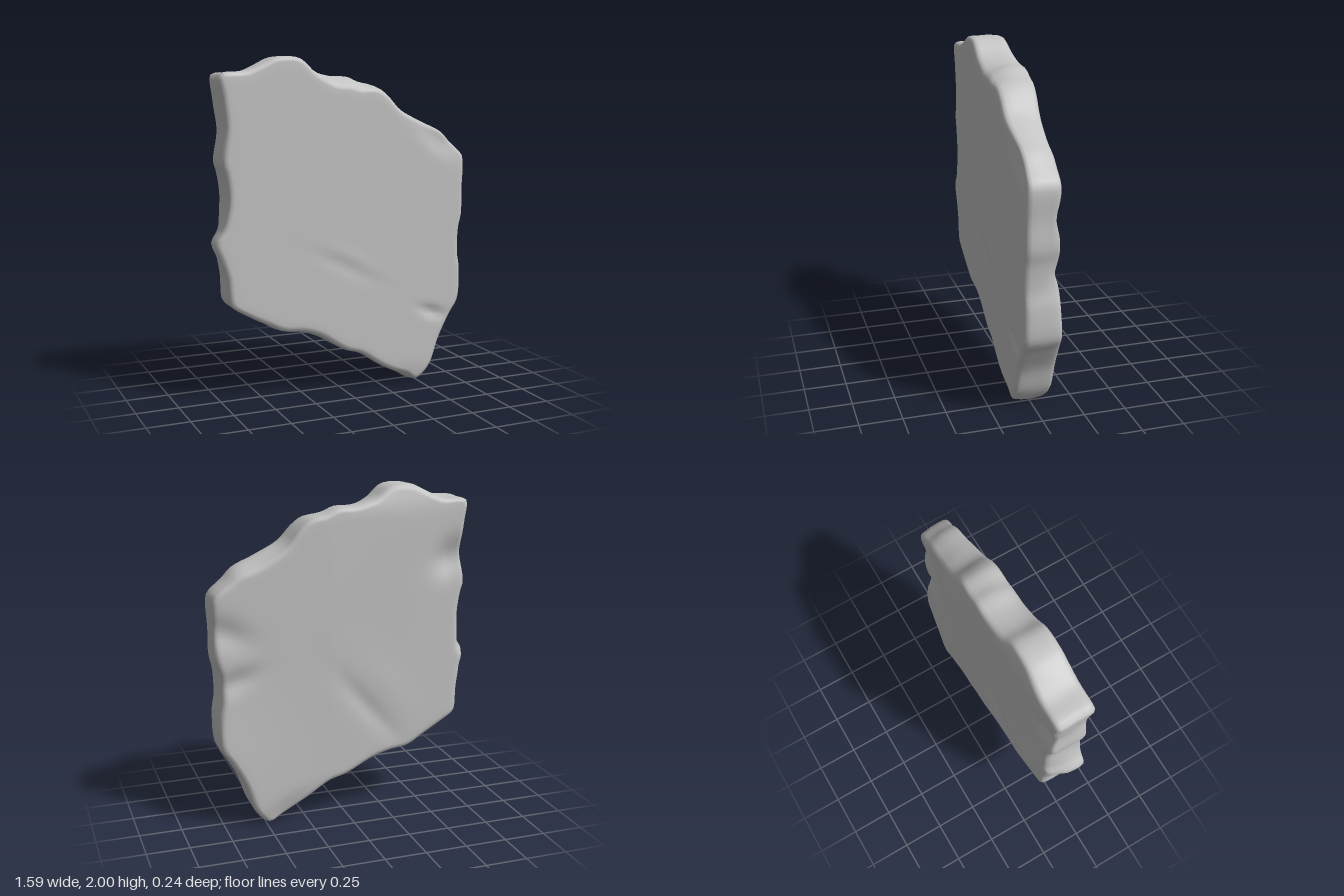
import * as THREE from 'three';
import { mergeVertices } from 'three/addons/utils/BufferGeometryUtils.js';

// Broken edge of the slab, clockwise from the upper left corner
const OUTLINE = [
  [-0.76, 1.9], [-0.72, 1.915], [-0.6, 1.92], [-0.5, 1.96], [-0.42, 1.995], [-0.28, 1.995], [-0.18, 1.93],
  [-0.05, 1.895], [0.05, 1.89], [0.12, 1.86], [0.22, 1.83], [0.28, 1.78], [0.36, 1.69], [0.5, 1.615],
  [0.64, 1.55], [0.7, 1.49], [0.785, 1.41], [0.795, 1.37], [0.79, 1.2], [0.79, 1.04], [0.77, 0.95],
  [0.765, 0.8], [0.78, 0.7], [0.77, 0.5], [0.72, 0.42], [0.64, 0.27], [0.58, 0.1], [0.52, 0.02],
  [0.48, 0], [0.4, 0.04], [0.24, 0.13], [0.1, 0.22], [0, 0.25], [-0.18, 0.34], [-0.28, 0.37],
  [-0.4, 0.39], [-0.5, 0.45], [-0.6, 0.51], [-0.7, 0.575], [-0.715, 0.6], [-0.73, 0.75], [-0.77, 0.87],
  [-0.795, 0.95], [-0.75, 1.03], [-0.72, 1.2], [-0.74, 1.35], [-0.755, 1.4], [-0.735, 1.6], [-0.75, 1.75],
];
const CENTRE = new THREE.Vector2(0.02, 1);

// Soft bump of height 1 around a point; rx, ry are its radii, turned by an angle
function bump(x, y, cx, cy, rx, ry, angle = 0) {
  const c = Math.cos(angle), s = Math.sin(angle), dx = x - cx, dy = y - cy;
  const u = (dx * c + dy * s) / rx, v = (dy * c - dx * s) / ry;
  return Math.exp(-u * u - v * v);
}

// Nearly flat front with a shallow crease and chipped corners
function frontZ(x, y) {
  return 0.118 + 0.002 * Math.sin(3 * x + 2 * y)
    + 0.004 * bump(x, y, 0.02, 0.82, 0.2, 0.035, -0.46)
    - 0.007 * bump(x, y, 0, 0.77, 0.2, 0.04, -0.46)
    - 0.02 * bump(x, y, 0.58, 0.44, 0.08, 0.03, -0.3)
    - 0.012 * bump(x, y, 0.45, 0.03, 0.12, 0.06)
    - 0.02 * bump(x, y, 0.62, 1.5, 0.16, 0.05, -0.6);
}

// Wavier back, thinner towards the left side, with a groove and flaked edges
function backZ(x, y) {
  return -0.117 + 0.045 * Math.max(0, x - 0.1) * THREE.MathUtils.smoothstep(y, 0.2, 1)
    + 0.004 * Math.sin(5 * x + 3 * y)
    + 0.012 * bump(x, y, -0.13, 0.68, 0.28, 0.06, 0.85)
    - 0.004 * bump(x, y, -0.26, 0.8, 0.3, 0.1, 0.85)
    + 0.045 * bump(x, y, -0.65, 1.56, 0.09, 0.1, 0.7)
    + 0.025 * bump(x, y, 0.74, 1.2, 0.16, 0.08, 0.4)
    + 0.025 * bump(x, y, 0.68, 0.9, 0.14, 0.06, -0.4)
    + 0.02 * bump(x, y, 0.4, 0.08, 0.2, 0.05, -0.5)
    + 0.025 * bump(x, y, -0.3, 1.98, 0.4, 0.08);
}

// Extra inset of the rim where pieces have broken off
const frontInset = (x, y) => 0.06 * bump(x, y, 0.02, 1.87, 0.2, 0.15)
  + 0.03 * bump(x, y, -0.25, 0.37, 0.35, 0.12) + 0.012 * bump(x, y, -0.75, 1.6, 0.1, 0.4)
  + 0.02 * bump(x, y, 0.42, 0.02, 0.12, 0.1);
const backInset = (x, y) => 0.01 + 0.045 * bump(x, y, -0.79, 0.95, 0.1, 0.15)
  + 0.03 * bump(x, y, 0.55, 1.6, 0.25, 0.12) + 0.015 * bump(x, y, 0.76, 0.85, 0.1, 0.2);

function slabGeometry() {
  const curve = new THREE.CatmullRomCurve3(
    OUTLINE.map(([x, y]) => new THREE.Vector3(x, y, 0)), true, 'centripetal');
  const n = OUTLINE.length * 4;
  const edge = curve.getSpacedPoints(n).slice(0, n);
  // Inward direction at each edge point, smoothed over its neighbours
  const inward = edge.map((_, i) => {
    const a = edge[(i + n - 5) % n], b = edge[(i + 5) % n];
    return new THREE.Vector2(b.y - a.y, a.x - b.x).normalize();
  });
  const positions = [], index = [];

  // One loop: inset from the edge, depth from face (0) to mid-thickness (1), scale t, side +1 or -1
  function addRing(inset, depth, t, side) {
    const faceZ = side > 0 ? frontZ : backZ, chip = side > 0 ? frontInset : backInset;
    edge.forEach((p, i) => {
      // Uneven hollows across the broken side
      const hollow = 0.012 * depth * (1 + Math.sin(9 * p.x + 11 * p.y + side * (1 - depth) * 2)) / 2;
      const d = inset + hollow + chip(p.x, p.y) * (1 - depth);
      const x = THREE.MathUtils.lerp(CENTRE.x, p.x + inward[i].x * d, t);
      const y = THREE.MathUtils.lerp(CENTRE.y, p.y + inward[i].y * d, t);
      positions.push(x, y, faceZ(x, y) * (1 - depth));
    });
  }

  // Front face, rounded rim, back face
  const steps = 20;
  const rim = [[0.018, 0.03], [0.006, 0.12], [0.001, 0.28], [0, 0.6]];
  for (let k = 0; k <= steps; k++) addRing(0.034, 0, k / steps, 1);
  rim.forEach(([d, depth]) => addRing(d, depth, 1, 1));
  addRing(0, 1, 1, 1);
  rim.reverse().forEach(([d, depth]) => addRing(d, depth, 1, -1));
  for (let k = steps; k >= 0; k--) addRing(0.034, 0, k / steps, -1);

  // Join neighbouring loops; the first and last loops are single points
  const rings = positions.length / 3 / n;
  for (let j = 0; j < rings - 1; j++) {
    for (let i = 0; i < n; i++) {
      const a = j * n + i, b = j * n + (i + 1) % n, c = a + n, d = b + n;
      if (j > 0) index.push(a, b, c);
      if (j < rings - 2) index.push(b, d, c);
      
    }
  }
  // Fix the fan around the first point, whose outer corners are c and d
  const geometry = new THREE.BufferGeometry();
  geometry.setAttribute('position', new THREE.Float32BufferAttribute(positions, 3));
  geometry.setIndex(index);
  const merged = mergeVertices(geometry, 1e-5);
  merged.computeVertexNormals();
  return merged;
}

export function createModel() {
  const group = new THREE.Group();
  group.name = 'stoneSlab';
  const stone = new THREE.MeshStandardMaterial({ color: 0xc3c3c3 });
  stone.name = 'grey stone';
  const slab = new THREE.Mesh(slabGeometry(), stone);
  slab.name = 'slab';
  group.add(slab);
  return group;
}
